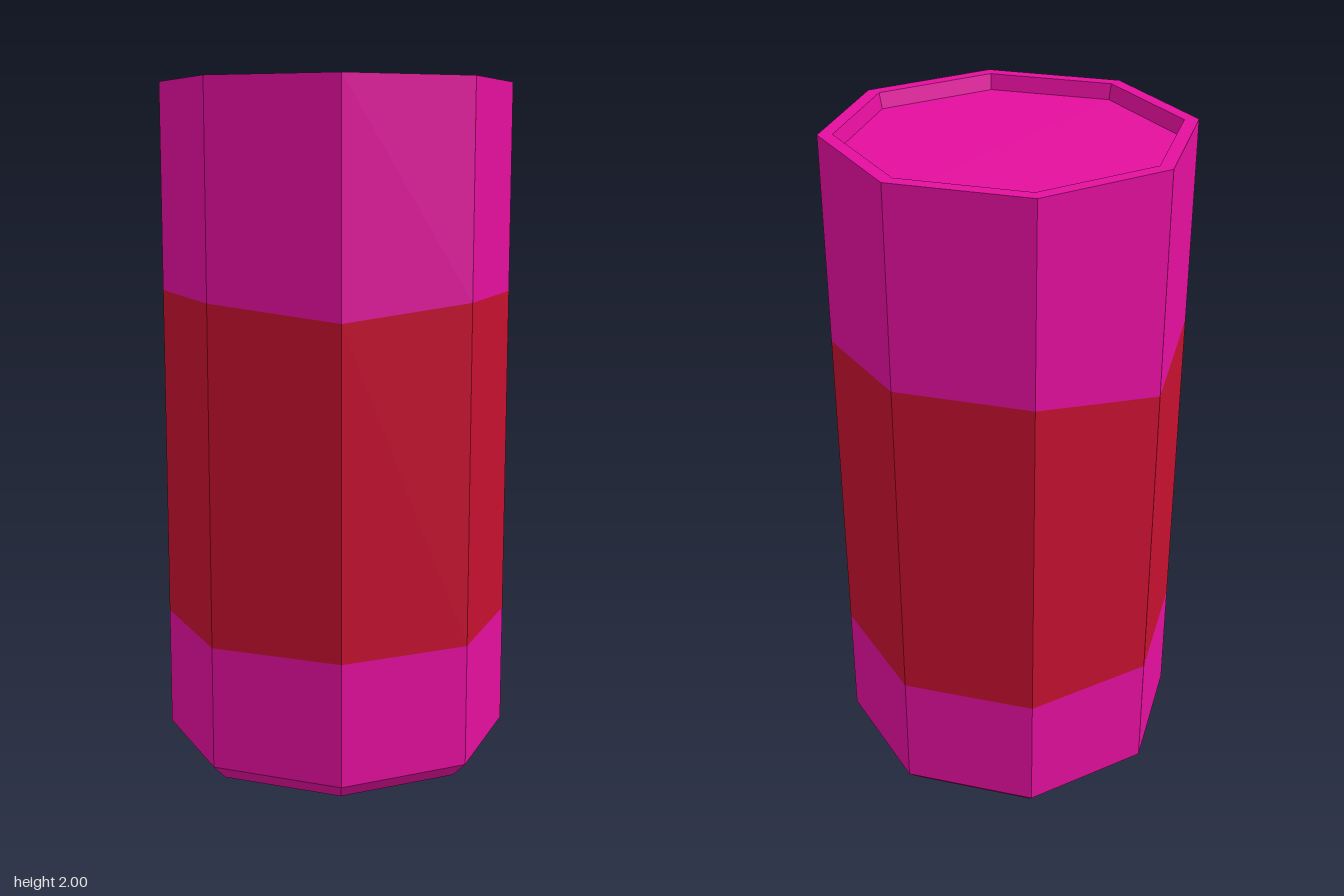
import * as THREE from 'three';

const SIDES = 8;
const R = 0.516;

// Upper edge of the label at each corner, starting at the front and turning towards +x
const LABEL_TOP = [1.35, 1.39, 1.39, 1.415, 1.415, 1.35, 1.395, 1.39];
const LABEL_BOTTOM = 0.405;

export function createModel() {
  const group = new THREE.Group();
  group.name = 'can';

  const pink = new THREE.MeshStandardMaterial({ color: 0xe40f9e, flatShading: true });
  const red = new THREE.MeshStandardMaterial({ color: 0xc5102f, flatShading: true });

  // Eight-sided turned part; points run up the outside
  function turned(name, points, material) {
    const profile = points.map(([r, y]) => new THREE.Vector2(r, y));
    const mesh = new THREE.Mesh(new THREE.LatheGeometry(profile, SIDES), material);
    mesh.name = name;
    group.add(mesh);
    return mesh;
  }

  // Move one ring of a turned part to the uneven label edge
  function bendRing(mesh, ring, ringCount) {
    const pos = mesh.geometry.attributes.position;
    for (let i = 0; i <= SIDES; i++) pos.setY(i * ringCount + ring, LABEL_TOP[i % SIDES]);
  }

  // Base: recessed underside, flat foot, bevel and lower wall
  turned('base', [
    [0, 0.1], [0.225, 0.1], [0.345, 0], [0.472, 0], [R, 0.045], [R, LABEL_BOTTOM],
  ], pink);

  // Label band
  const label = turned('label', [[R, LABEL_BOTTOM], [R, 1.4]], red);
  bendRing(label, 1, 2);

  // Upper wall, rim and sunken lid
  const top = turned('upperWallAndLid', [
    [R, 1.4], [R, 2], [0.475, 2], [0.465, 1.955], [0, 1.955],
  ], pink);
  bendRing(top, 0, 5);

  return group;
}
